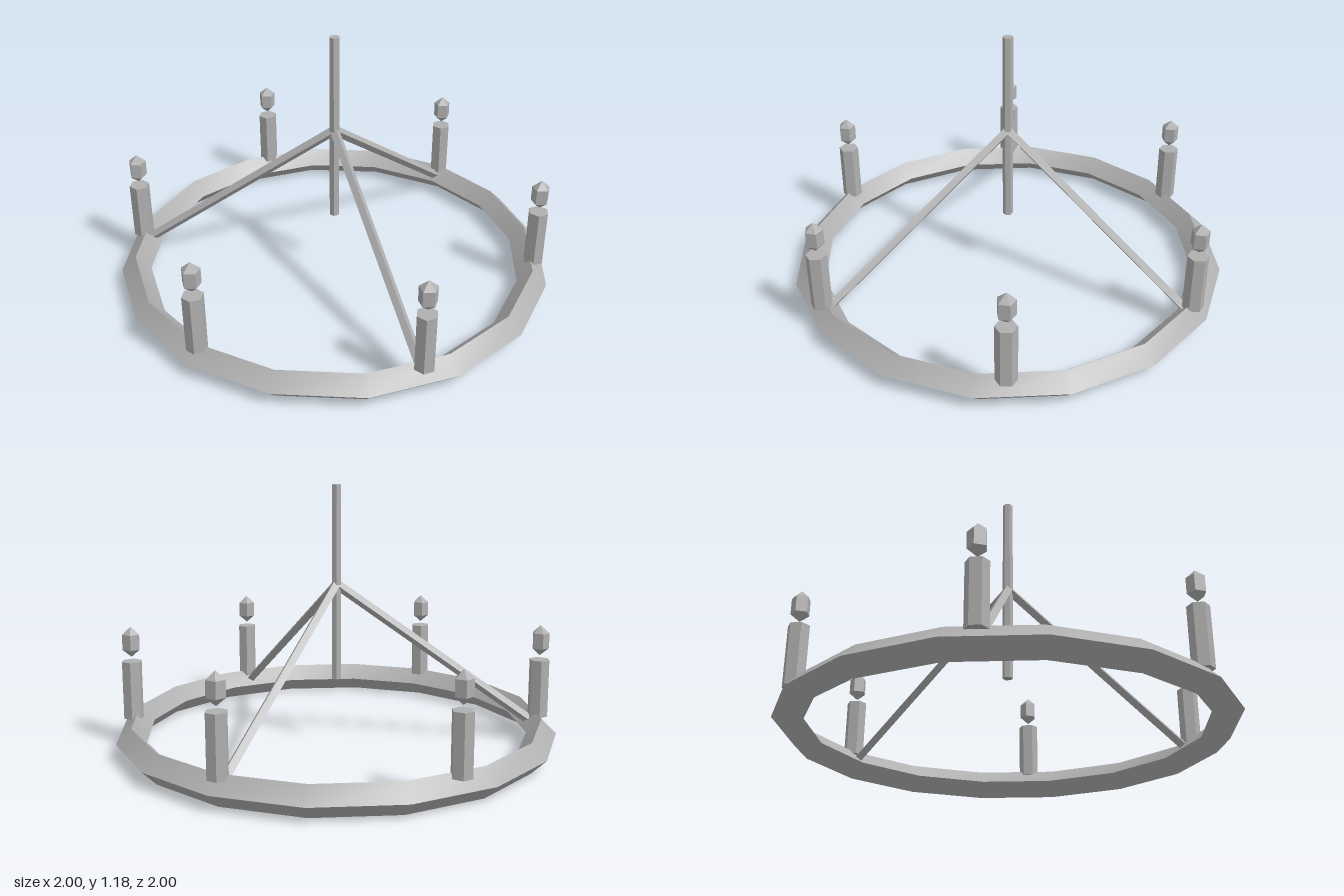
import * as THREE from 'three';
import { toCreasedNormals } from 'three/addons/utils/BufferGeometryUtils.js';

const RING_RADIUS = 0.933;
const TUBE = 0.067;
const APEX = 0.733;

export function createModel() {
  const model = new THREE.Group();
  model.name = 'chandelier';
  const grey = new THREE.MeshStandardMaterial({ color: 0xb0b0b0 });
  grey.name = 'grey';

  function add(parent, name, geometry, x, y, z) {
    const mesh = new THREE.Mesh(toCreasedNormals(geometry, 0.6), grey);
    mesh.name = name;
    mesh.position.set(x, y, z);
    parent.add(mesh);
    return mesh;
  }

  // Hoop with a diamond cross-section
  const hoop = new THREE.TorusGeometry(RING_RADIUS, TUBE, 4, 16).rotateX(Math.PI / 2);
  add(model, 'hoop', hoop, 0, TUBE, 0);

  // Central hanging rod
  add(model, 'hangingRod', new THREE.CylinderGeometry(0.0235, 0.0235, 0.885, 6), 0, 0.7375, 0);

  // Three sloping struts from the rod to the hoop, ridge upward
  const drop = APEX - TUBE;
  const length = Math.hypot(RING_RADIUS, drop);
  for (let i = 0; i < 3; i++) {
    const arm = new THREE.Group();
    arm.name = 'strut' + (i + 1);
    arm.rotation.y = (i * Math.PI * 2) / 3;
    const bar = add(arm, 'strutBar', new THREE.CylinderGeometry(0.0225, 0.0225, length, 4),
      RING_RADIUS / 2, (APEX + TUBE) / 2, 0);
    bar.rotation.z = Math.atan2(RING_RADIUS, drop);
    model.add(arm);
  }

  // Six candles, each with a faceted flame floating above
  for (let i = 0; i < 6; i++) {
    const a = (i * Math.PI) / 3;
    const holder = new THREE.Group();
    holder.name = 'candle' + (i + 1);
    holder.position.set(RING_RADIUS * Math.cos(a), 0, RING_RADIUS * Math.sin(a));
    add(holder, 'candleStick', new THREE.CylinderGeometry(0.0467, 0.0467, 0.267, 6), 0, 0.247, 0);
    add(holder, 'flame', new THREE.SphereGeometry(0.0467, 5, 3).scale(1, 1.5, 1), 0, 0.47, 0);
    model.add(holder);
  }

  return model;
}
